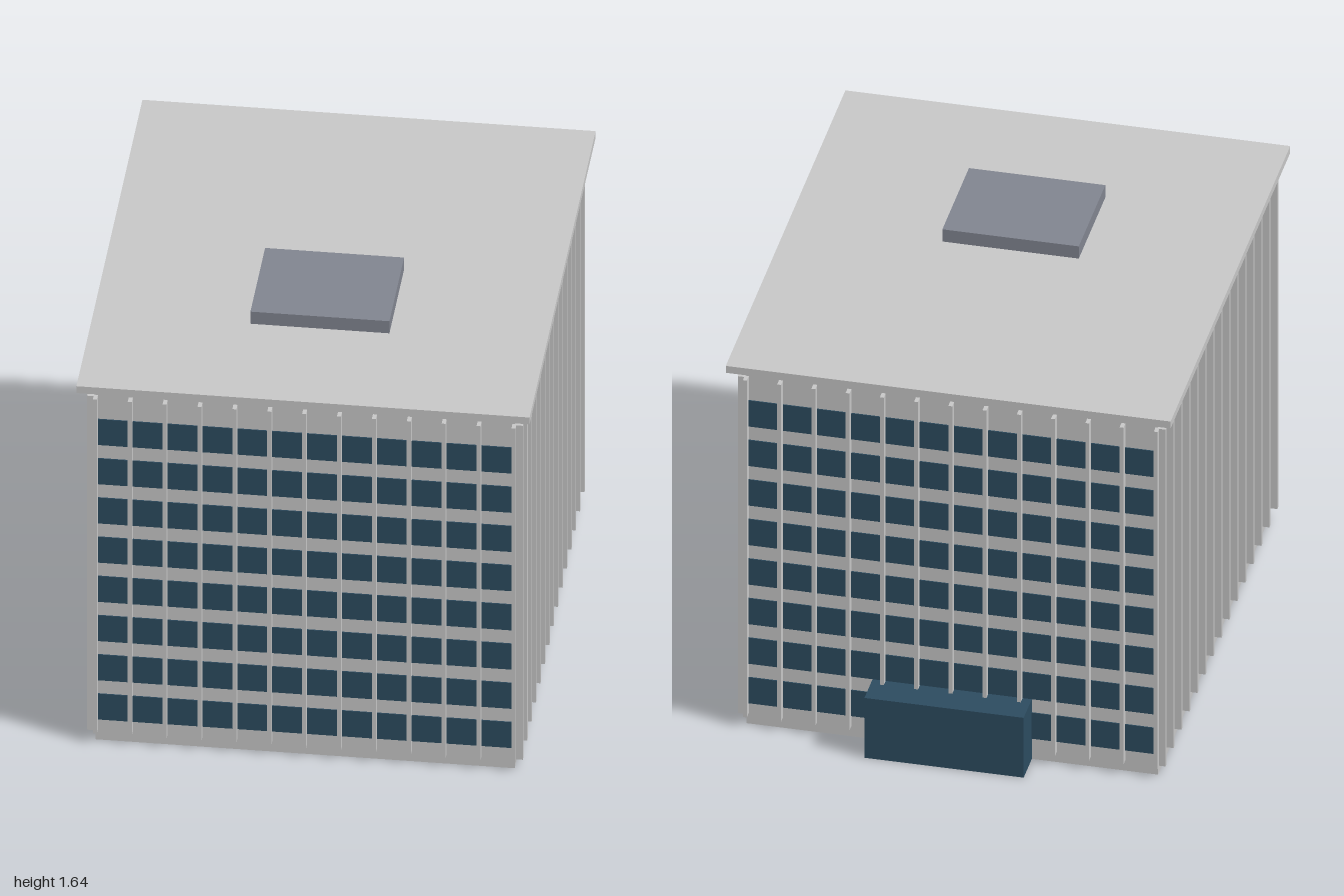
import * as THREE from 'three';

const concrete = new THREE.MeshStandardMaterial({ name: 'pale concrete', color: 0xc6c6c6 });
const glass = new THREE.MeshStandardMaterial({ name: 'blue glass', color: 0x2c4b5f });
const slate = new THREE.MeshStandardMaterial({ name: 'grey plant room', color: 0x80848f });

// Box placed by its minimum and maximum corners
function block(name, material, [x0, y0, z0], [x1, y1, z1]) {
  const mesh = new THREE.Mesh(new THREE.BoxGeometry(x1 - x0, y1 - y0, z1 - z0), material);
  mesh.name = name;
  mesh.position.set((x0 + x1) / 2, (y0 + y1) / 2, (z0 + z1) / 2);
  return mesh;
}

const W = 0.775, D = 0.902, CZ = 0.034; // half width, half depth and z centre of the tower
const PITCH = 0.129; // fin spacing
const FLOORS = 8;

// One wall: its outer face is at local z = 0, facing +z
function facade(name, half, gaps) {
  const group = new THREE.Group();
  group.name = name;
  for (let i = 0; i < FLOORS; i++) {
    const y = 0.09 + i * 0.172;
    group.add(block('windowBand', glass, [-half + 0.006, y, -0.002], [half - 0.006, y + 0.113, 0.004]));
  }
  for (let i = 0; i <= gaps; i++) {
    const x = (i - gaps / 2) * PITCH;
    group.add(block('fin', concrete, [x - 0.0075, 0.045, 0], [x + 0.0075, 1.51, 0.031]));
  }
  return group;
}

export function createModel() {
  const model = new THREE.Group();
  model.name = 'officeBlock';

  model.add(block('tower', concrete, [-W, 0, CZ - D], [W, 1.555, CZ + D]));
  model.add(block('roofSlab', concrete, [-0.838, 1.555, -0.933], [0.838, 1.585, 1]));
  model.add(block('plantRoom', slate, [-0.257, 1.585, 0.075], [0.257, 1.638, 0.505]));
  model.add(block('entrance', glass, [-0.3, 0, -1], [0.3, 0.26, CZ - D]));

  // Four walls of window bands and fins
  const walls = [['front', W, 12, D], ['leftSide', D, 14, W], ['back', W, 12, D], ['rightSide', D, 14, W]];
  walls.forEach(([name, half, gaps, out], i) => {
    const wall = facade(name + 'Wall', half, gaps);
    const a = i * Math.PI / 2;
    wall.rotation.y = a;
    wall.position.set(Math.sin(a) * out, 0, CZ + Math.cos(a) * out);
    model.add(wall);
  });
  return model;
}
